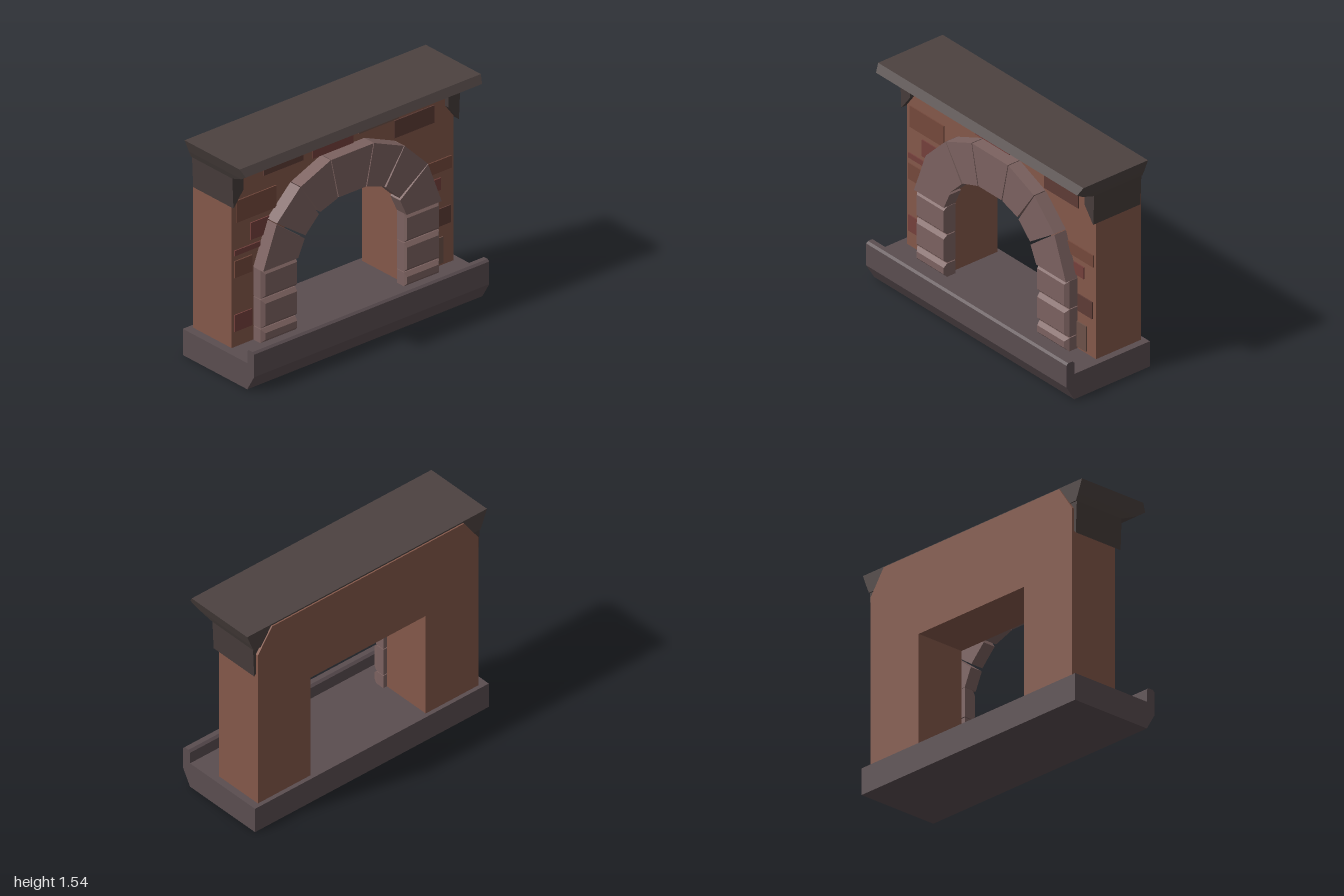
import * as THREE from 'three';
import { ConvexGeometry } from 'three/addons/geometries/ConvexGeometry.js';

const V = (x, y, z) => new THREE.Vector3(x, y, z);

function add(parent, name, geometry, color) {
  const material = new THREE.MeshStandardMaterial({ color, flatShading: true });
  const mesh = new THREE.Mesh(geometry, material);
  mesh.name = name;
  parent.add(mesh);
  return mesh;
}

const shapeOf = (pts) => new THREE.Shape(pts.map(([a, b]) => new THREE.Vector2(a, b)));

// Solid block from an outline of [z, y] corners between two x depths
function block(outline, x0, x1, frontOutline = outline) {
  return new ConvexGeometry([
    ...outline.map(([z, y]) => V(x0, y, z)),
    ...frontOutline.map(([z, y]) => V(x1, y, z)),
  ]);
}

export function createModel() {
  const model = new THREE.Group();
  model.name = 'fireplace';

  // Hearth slab with a raised lip along the open side
  const hearth = new THREE.ExtrudeGeometry(shapeOf([
    [-0.345, 0], [0.275, 0], [0.34, 0.11], [0.34, 0.27], [0.325, 0.283],
    [0.29, 0.283], [0.275, 0.268], [0.275, 0.185], [-0.345, 0.185],
  ]), { depth: 1.95, bevelEnabled: false });
  hearth.translate(0, 0, -0.97);
  add(model, 'hearth', hearth, 0x5a4d50);

  // Chimney wall with a rectangular opening and clipped top corners
  const wall = new THREE.ExtrudeGeometry(shapeOf([
    [-0.92, 0.185], [-0.48, 0.185], [-0.48, 0.96], [0.48, 0.96], [0.48, 0.185],
    [0.92, 0.185], [0.92, 1.36], [0.8, 1.53], [-0.8, 1.53], [-0.92, 1.36],
  ]), { depth: 0.37, bevelEnabled: false });
  wall.rotateY(Math.PI / 2).translate(-0.315, 0, 0);
  add(model, 'wall', wall, 0x84584a);

  // Mantel: stacked rectangles [y, front x, half length]
  const mantelPoints = [];
  for (const [y, front, half] of [
    [1.54, 0.225, 1], [1.49, 0.26, 0.98], [1.45, 0.2, 0.965], [1.405, 0.09, 0.945],
  ]) {
    for (const s of [-1, 1]) mantelPoints.push(V(-0.305, y, s * half), V(front, y, s * half));
  }
  add(model, 'mantel', new ConvexGeometry(mantelPoints), 0x4c4240);

  // Brackets under the mantel ends
  for (const s of [-1, 1]) {
    const outline = [[0.935, 1.19], [0.945, 1.41], [0.85, 1.41], [0.85, 1.3], [0.925, 1.2]];
    add(model, 'mantelBracket', block(outline.map(([z, y]) => [s * z, y]), -0.297, 0.09), 0x463c3a);
  }

  // Arch stones: outer pair, then inner pair
  const stoneColor = 0x7c6260;
  const arch = new THREE.Group();
  arch.name = 'arch';
  model.add(arch);
  const keystone = [[0.174, 1.3], [-0.174, 1.3], [-0.112, 1.015], [0.112, 1.015]];
  add(arch, 'keystone', block(keystone, 0.055, 0.15), stoneColor);
  const archStones = [
    [[0.18, 1.3], [0.428, 1.196], [0.266, 0.963], [0.12, 1.013]],
    [[0.433, 1.194], [0.626, 1.003], [0.39, 0.84], [0.278, 0.952]],
    [[0.628, 0.998], [0.74, 0.7], [0.45, 0.7], [0.395, 0.82]],
  ];
  for (const s of [-1, 1]) {
    for (const stone of archStones) {
      add(arch, 'archStone', block(stone.map(([z, y]) => [s * z, y]), 0.055, 0.15), stoneColor);
    }
    // Leg stones with chamfered faces
    for (const [y0, y1] of [[0.185, 0.282], [0.288, 0.49], [0.496, 0.698]]) {
      const back = [[0.74, y0], [0.74, y1], [0.45, y1], [0.45, y0]];
      const face = [[0.718, y0 + 0.025], [0.718, y1 - 0.025], [0.455, y1 - 0.025], [0.455, y0 + 0.025]];
      const side = (pts) => pts.map(([z, y]) => [s * z, y]);
      const points = [
        ...side(back).flatMap(([z, y]) => [V(0.055, y, z), V(0.122, y, z)]),
        ...side(face).map(([z, y]) => V(0.146, y, z)),
      ];
      add(arch, 'legStone', new ConvexGeometry(points), stoneColor);
    }
  }

  // Bricks standing slightly proud of the wall: z, y, width, height, color
  const brown = 0x74493c, red = 0x74403c, grey = 0x6c5148, dark = 0x5e3c36;
  const bricks = [
    [0.495, 1.352, 0.33, 0.07, dark], [0.083, 1.345, 0.335, 0.09, red],
    [-0.295, 1.375, 0.33, 0.06, grey], [-0.59, 1.277, 0.33, 0.123, dark],
    [0.72, 1.138, 0.33, 0.155, brown], [0.69, 0.96, 0.155, 0.12, red],
    [0.793, 0.848, 0.215, 0.037, red], [0.828, 0.733, 0.145, 0.117, brown],
    [0.828, 0.353, 0.145, 0.117, red], [-0.772, 0.893, 0.255, 0.087, brown],
    [-0.76, 0.765, 0.1, 0.085, red], [-0.82, 0.528, 0.14, 0.123, dark],
    [-0.783, 0.293, 0.095, 0.185, grey],
  ];
  for (const [z, y, w, h, color] of bricks) {
    add(model, 'brick', new THREE.BoxGeometry(0.02, h, w), color).position.set(0.053, y, z);
  }

  return model;
}
